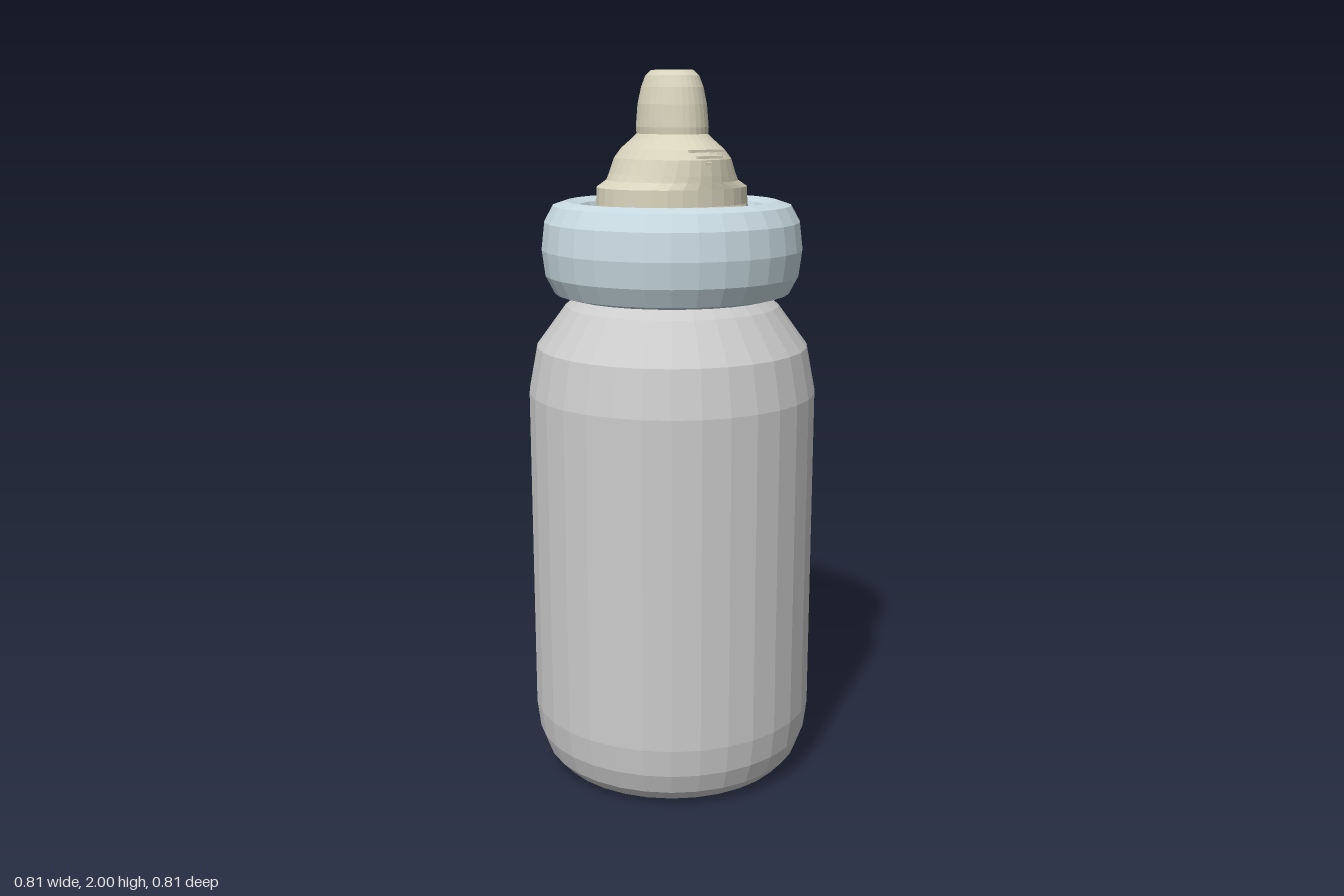
import * as THREE from 'three';

const SIDES = 32;

function material(color) {
  return new THREE.MeshStandardMaterial({ color, flatShading: true });
}

// Surface of revolution from [radius, height] pairs
function lathe(points) {
  return new THREE.LatheGeometry(points.map(([r, y]) => new THREE.Vector2(r, y)), SIDES);
}

// Stack of ellipses from [height, half width, half depth] rows
function ellipseLoft(rows) {
  const geometry = lathe(rows.map(([y, w]) => [w, y]));
  const position = geometry.attributes.position;
  for (let i = 0; i < position.count; i++) {
    const [, w, d] = rows[i % rows.length];
    if (w > 0) position.setZ(i, position.getZ(i) * d / w);
  }
  geometry.computeVertexNormals();
  return geometry;
}

export function createModel() {
  const model = new THREE.Group();
  const add = (name, geometry, mat, parent = model) => {
    const mesh = new THREE.Mesh(geometry, mat);
    mesh.name = name;
    parent.add(mesh);
    return mesh;
  };

  // Bottle with rounded foot, sloped shoulder and neck hidden in the collar
  add('bottle', lathe([
    [0, 0], [0.31, 0], [0.345, 0.016], [0.375, 0.05], [0.397, 0.11], [0.407, 0.19],
    [0.407, 1.12], [0.382, 1.25], [0.3, 1.362], [0.265, 1.39], [0.265, 1.5], [0, 1.5],
  ]), material(0xcccccc));

  // Puffy screw collar: a rounded ring, same section mirrored inward
  const middle = 0.293;
  const outer = [[0, 1.39], [0.036, 1.4], [0.062, 1.45], [0.071, 1.52],
    [0.062, 1.595], [0.037, 1.64], [0, 1.652]];
  const inner = outer.slice(0, -1).reverse().map(([r, y]) => [-r, y]);
  add('collar', lathe([...outer, ...inner].map(([r, y]) => [middle + r, y])), material(0xc8dae1));

  // Teat: round base, oval shoulder and narrow oval tip
  const teat = new THREE.Group();
  teat.name = 'teat';
  model.add(teat);
  const rubber = material(0xd8d3bc);
  add('teatBody', ellipseLoft([
    [1.48, 0.222, 0.222], [1.6, 0.22, 0.215], [1.645, 0.217, 0.192], [1.69, 0.215, 0.19],
    [1.708, 0.178, 0.19], [1.725, 0.168, 0.19], [1.767, 0.148, 0.188], [1.792, 0.128, 0.17],
    [1.82, 0.1, 0.13], [1.832, 0.09, 0.115], [1.85, 0.092, 0.116], [1.91, 0.088, 0.109],
    [1.955, 0.078, 0.1], [1.985, 0.067, 0.087], [2, 0.053, 0.067], [2, 0, 0],
  ]), rubber);

  // Small vent ridges on front and back of the shoulder
  for (const side of [1, -1]) {
    [[1.757, 0.05, 0.186], [1.774, 0.08, 0.178], [1.79, 0.11, 0.166]].forEach(([y, width, z]) => {
      add('ventRidge', new THREE.BoxGeometry(width, 0.007, 0.014), rubber, teat)
        .position.set(0, y, side * z);
    });
  }

  return model;
}
